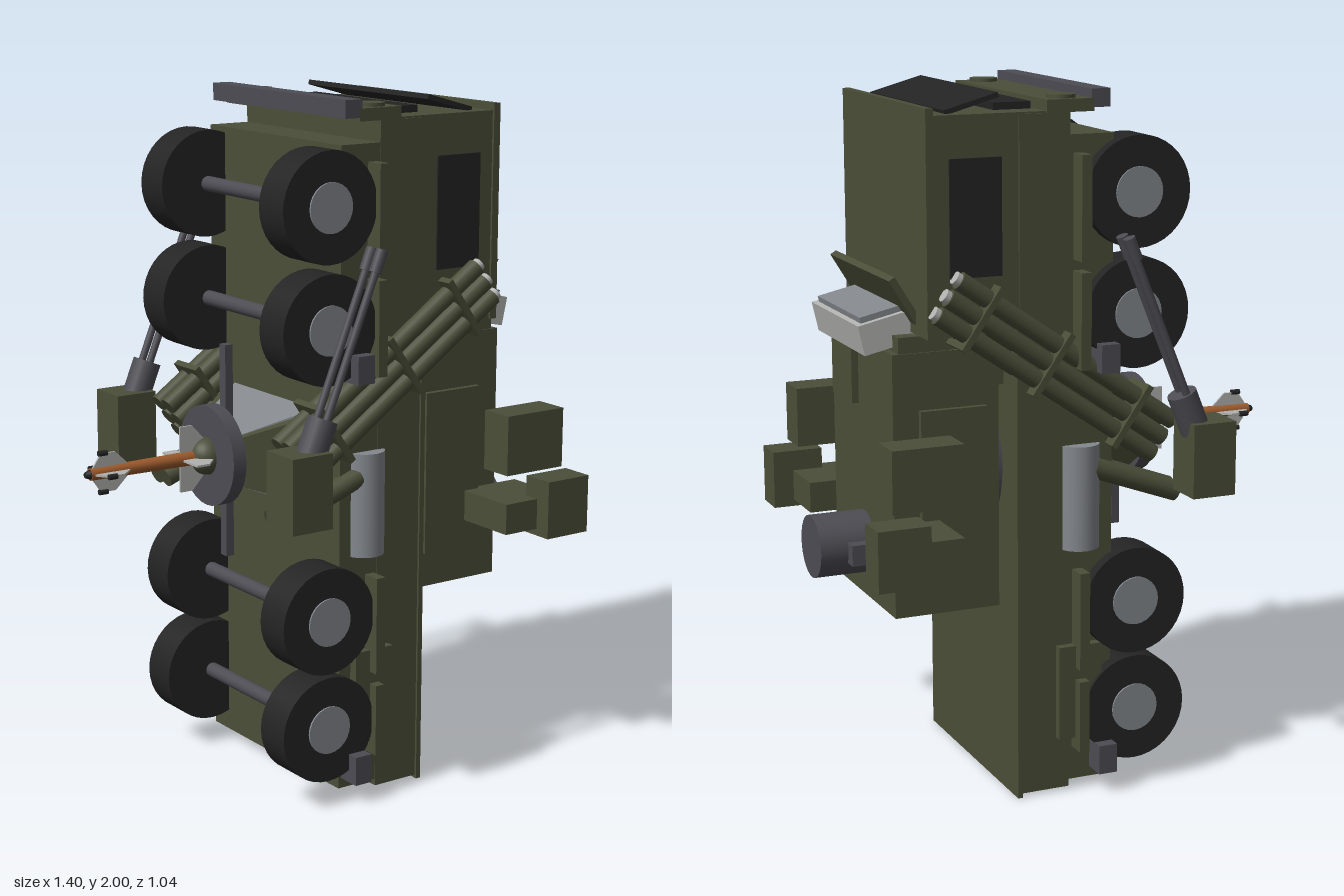
import * as THREE from 'three';

const mat = (name, color) => {
  const m = new THREE.MeshStandardMaterial({ color });
  m.name = name;
  return m;
};

export function createModel() {
  const root = new THREE.Group();
  root.name = 'armouredVehicle';
  const green = mat('olive green', 0x4a4e38);
  const black = mat('rubber black', 0x242424);
  const iron = mat('gun metal', 0x4d4c53);
  const grey = mat('steel grey', 0x84888d);
  const pale = mat('pale grey', 0xb2b3b0);
  const orange = mat('rocket orange', 0x9c5a2c);

  const add = (name, geo, m) => {
    const mesh = new THREE.Mesh(geo, m);
    mesh.name = name;
    root.add(mesh);
    return mesh;
  };
  // box given by its limits on each axis
  const box = (name, m, x0, x1, y0, y1, z0, z1) => {
    const mesh = add(name, new THREE.BoxGeometry(x1 - x0, y1 - y0, Math.abs(z1 - z0)), m);
    mesh.position.set((x0 + x1) / 2, (y0 + y1) / 2, (z0 + z1) / 2);
    return mesh;
  };
  const UP = new THREE.Vector3(0, 1, 0);
  // cylinder between two points
  const rod = (name, m, a, b, r, r2 = r, n = 20) => {
    const p = new THREE.Vector3(...a), q = new THREE.Vector3(...b);
    const d = q.clone().sub(p);
    const mesh = add(name, new THREE.CylinderGeometry(r2, r, d.length(), n), m);
    mesh.position.copy(p).add(q).multiplyScalar(0.5);
    mesh.quaternion.setFromUnitVectors(UP, d.normalize());
    return mesh;
  };

  // hull
  box('hull', green, 0.05, 0.2, 0.01, 1.94, -0.33, 0.33);
  box('hullDeck', green, 0.195, 0.21, 0, 1.4, -0.337, 0.337);
  box('lowerHull', green, -0.08, 0.05, 0.03, 1.88, -0.328, 0.328);

  // cab with windows, bumper and lamps
  box('cab', green, 0.05, 0.45, 1.35, 1.945, -0.325, 0.325);
  box('cabRoof', green, 0.445, 0.467, 1.35, 1.965, -0.332, 0.332);
  box('lowerWindscreen', black, 0.13, 0.24, 1.94, 1.965, -0.245, 0.245);
  const visor = box('windscreenVisor', black, 0.24, 0.4, 1.962, 1.976, -0.29, 0.29);
  visor.rotation.z = -0.27;
  box('nosePlate', green, -0.02, 0.12, 1.94, 1.975, -0.33, 0.33);
  box('bumper', iron, -0.068, -0.012, 1.95, 2.0, -0.33, 0.33);

  // running gear
  const wheelYs = [0.235, 0.555, 1.385, 1.72];
  for (const y of wheelYs) rod('axle', iron, [-0.14, y, -0.27], [-0.14, y, 0.27], 0.022);

  for (const s of [1, -1]) {
    for (const y of wheelYs) {
      rod('tyre', black, [-0.14, y, s * 0.25], [-0.14, y, s * 0.365], 0.155, 0.155, 36);
      rod('hub', grey, [-0.14, y, s * 0.36], [-0.14, y, s * 0.37], 0.07, 0.07, 24);
    }
    for (const [y0, y1] of [[0.13, 0.34], [0.375, 0.66], [1.24, 1.51], [1.54, 1.83]])
      box('fender', green, 0.01, 0.04, y0, y1, s * 0.32, s * 0.385);
    for (const [y0, y1] of [[0.06, 0.145], [1.23, 1.31]])
      box('sideBracket', iron, -0.07, -0.015, y0, y1, s * 0.3, s * 0.4);
    box('toolLocker', green, -0.04, 0.09, 0.165, 0.44, s * 0.32, s * 0.355);
    box('sideWindow', black, 0.25, 0.4, 1.51, 1.83, s * 0.322, s * 0.33);
    rod('headlamp', green, [0.055, 1.97, s * 0.275], [0.055, 1.985, s * 0.275], 0.04);
    rod('fuelTank', grey, [0.015, 0.72, s * 0.31], [0.015, 1.02, s * 0.31], 0.06, 0.06, 28);

    // slanted rack of launch tubes
    const a = 0.604, dx = Math.cos(a), dy = Math.sin(a);
    const at = (t, n, z) => [-0.23 + dx * t - dy * n, 1.02 + dy * t + dx * n, s * z];
    for (const z of [0.29, 0.342])
      for (const n of [-0.055, 0, 0.055]) {
        rod('launchTube', green, at(0, n, z), at(0.78, n, z), 0.026);
        rod('launchTubeTip', pale, at(0.77, n, z), at(0.795, n, z), 0.019);
      }
    for (const t of [0.13, 0.42, 0.67]) {
      const strap = add('tubeStrap', new THREE.BoxGeometry(0.018, 0.2, 0.12), green);
      strap.position.set(...at(t, 0, 0.315));
      strap.rotation.z = a;
    }
    for (const z of [0.28, 0.33])
      rod('lowerTube', green, [-0.28, 0.855, s * z], [-0.02, 0.95, s * z], 0.03);

    // twin gun pod
    box('gunPod', green, -0.37, -0.24, 0.88, 1.09, s * 0.395, s * 0.52);
    rod('gunMount', iron, [-0.275, 1.06, s * 0.458], [-0.23, 1.17, s * 0.458], 0.042);
    for (const z of [0.437, 0.481]) {
      rod('gunBarrel', iron, [-0.25, 1.13, s * z], [-0.058, 1.6, s * z], 0.011, 0.011, 12);
      rod('gunMuzzle', iron, [-0.078, 1.555, s * z], [-0.054, 1.615, s * z], 0.017, 0.017, 12);
    }

    // turret side equipment
    box('turretSidePanel', green, 0.27, 0.465, 0.66, 1.14, s * 0.24, s * 0.268);
    box('sensorBox', green, 0.415, 0.62, 0.915, 1.09, s * 0.355, s * 0.46);
    box('podArm', green, 0.415, 0.62, 0.74, 0.83, s * 0.25, s * 0.46);
    box('podBox', green, 0.53, 0.68, 0.72, 0.89, s * 0.41, s * 0.51);
  }

  // turret
  rod('turretRing', iron, [0.2, 0.95, 0], [0.24, 0.95, 0], 0.23, 0.23, 32);
  box('turret', green, 0.23, 0.54, 0.555, 1.3, -0.25, 0.25);
  box('turretNeck', green, 0.21, 0.37, 1.19, 1.35, -0.24, 0.24);
  box('turretFront', green, 0.37, 0.52, 1.29, 1.345, -0.245, 0.245);
  box('turretHatch', green, 0.53, 0.56, 1.11, 1.28, 0.03, 0.2);
  const shield = add('turretShield', new THREE.BoxGeometry(0.02, 0.25, 0.49), green);
  shield.position.set(0.47, 1.4, 0);
  shield.rotation.z = -0.55;
  const sight = add('sightBox', new THREE.BoxGeometry(0.16, 0.085, 0.4), pale);
  sight.position.set(0.53, 1.352, 0);
  sight.rotation.z = -0.22;
  const sightLid = add('sightLid', new THREE.BoxGeometry(0.13, 0.02, 0.36), grey);
  sightLid.position.set(0.54, 1.4, 0);
  sightLid.rotation.z = -0.22;
  rod('turretDrum', iron, [0.53, 0.715, 0], [0.7, 0.715, 0], 0.09, 0.09, 28);
  box('drumLugs', iron, 0.53, 0.62, 0.68, 0.74, -0.125, 0.125);

  // tapered housing under the hull: axis along -x
  const taper = (name, m, halfY, halfZ, ratio) => {
    const g = new THREE.CylinderGeometry(ratio * Math.SQRT2, Math.SQRT2, 0.2, 4).toNonIndexed();
    g.rotateY(Math.PI / 4).rotateZ(Math.PI / 2).scale(1, halfY, halfZ);
    g.computeVertexNormals();
    add(name, g, m).position.set(-0.175, 0.985, 0);
  };
  taper('housing', green, 0.14, 0.245, 0.5);
  taper('housingPanels', grey, 0.148, 0.21, 0.48);
  rod('rearDisc', iron, [-0.27, 0.985, 0], [-0.312, 0.985, 0], 0.145, 0.145, 32);
  box('cableStrut', iron, -0.255, -0.23, 0.68, 1.3, -0.015, 0.015);
  const dome = add('domeCap', new THREE.SphereGeometry(0.055, 24, 16), green);
  dome.position.set(-0.31, 0.985, 0);

  // rocket with crossed fins
  rod('rocketBody', orange, [-0.34, 0.985, 0], [-0.69, 0.985, 0], 0.021, 0.017);
  rod('rocketTip', black, [-0.685, 0.985, 0], [-0.705, 0.985, 0], 0.016, 0.008);
  const finSet = (name, pts) => {
    const g = new THREE.ExtrudeGeometry(
      new THREE.Shape(pts.map(p => new THREE.Vector2(...p))), { depth: 0.006, bevelEnabled: false });
    g.translate(0, 0, -0.003);
    for (let i = 0; i < 4; i++) {
      const fin = add(name, g, pale);
      fin.position.y = 0.985;
      fin.rotation.x = i * Math.PI / 2;
    }
  };
  finSet('tailFin', [[-0.685, 0.012], [-0.655, 0.055], [-0.61, 0.055], [-0.565, 0.012]]);
  finSet('frontFin', [[-0.4, 0.015], [-0.4, 0.095], [-0.36, 0.095], [-0.31, 0.04], [-0.31, 0.015]]);
  for (let i = 0; i < 4; i++) {
    const c = Math.cos(i * Math.PI / 2) * 0.055, d = Math.sin(i * Math.PI / 2) * 0.055;
    rod('finPod', black, [-0.662, 0.985 + c, d], [-0.635, 0.985 + c, d], 0.008, 0.008, 10);
  }
  return root;
}
